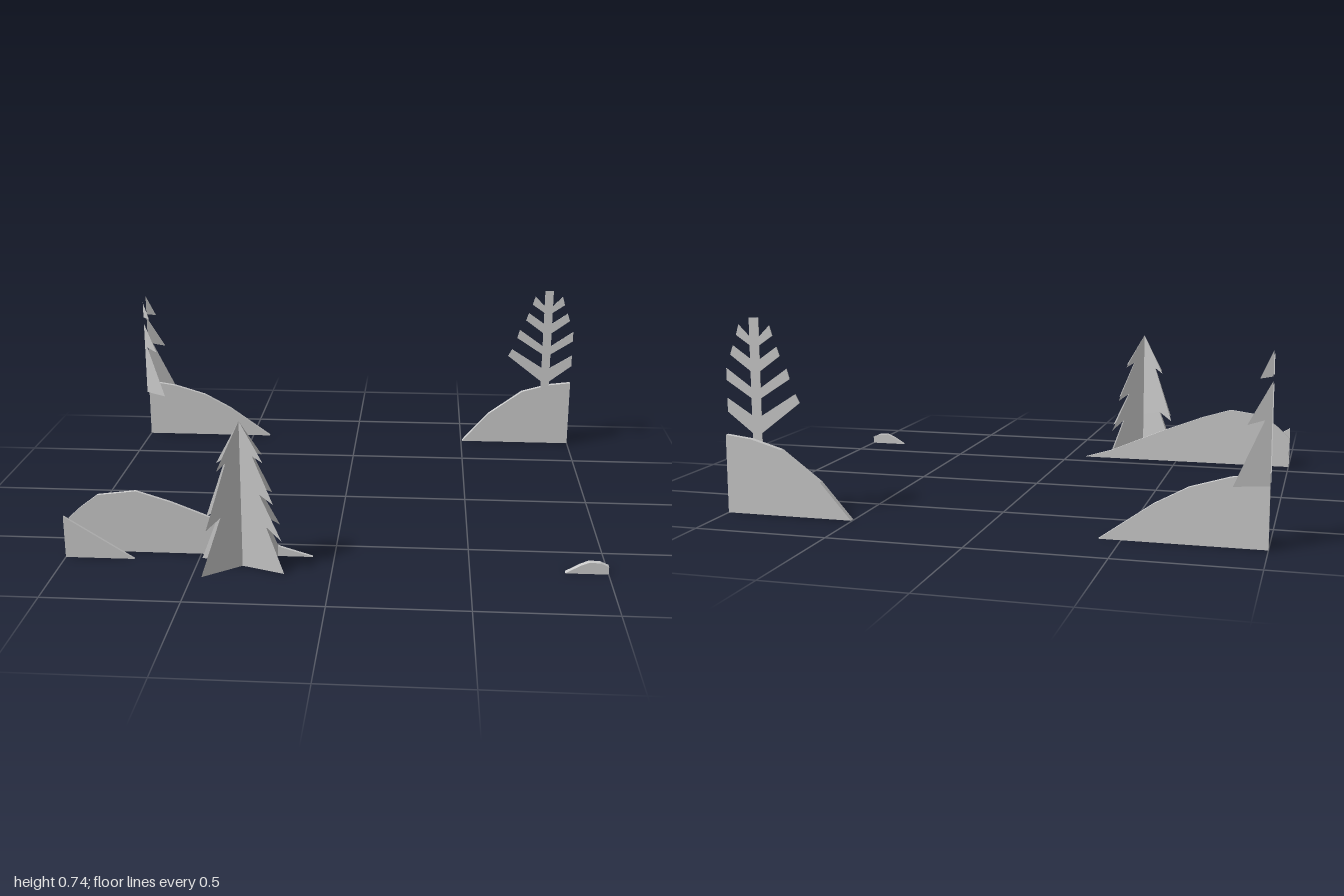
import * as THREE from 'three';

const material = new THREE.MeshStandardMaterial({ color: 0xcccccc, side: THREE.DoubleSide, flatShading: true });

const outline = (points) => new THREE.Shape(points.map(([x, y]) => new THREE.Vector2(x, y)));

// Upright cut-out with a little thickness, from z0 to z1
function slab(name, points, z0, z1) {
  const geometry = new THREE.ExtrudeGeometry(points.map ? outline(points) : points, { depth: z1 - z0, bevelEnabled: false });
  geometry.translate(0, 0, z0);
  const mesh = new THREE.Mesh(geometry, material);
  mesh.name = name;
  return mesh;
}

// Paper-thin upright card turned so its own +x points along (dx, dz)
function card(name, shapes, dx, dz) {
  const mesh = new THREE.Mesh(new THREE.ShapeGeometry(shapes), material);
  mesh.name = name;
  mesh.rotation.y = -Math.atan2(dz, dx);
  return mesh;
}

// Fir made of two crossed cards
function firTree() {
  const tree = new THREE.Group();
  tree.name = 'frontFirTree';
  const profile = outline([
    [0, 0.56], [0.092, 0.415], [0.05, 0.435], [0.13, 0.262], [0.075, 0.293],
    [0.162, 0.125], [0.1, 0.172], [0.17, 0],
    [-0.17, 0], [-0.085, 0.21], [-0.146, 0.173], [-0.058, 0.413], [-0.097, 0.388],
  ].reverse());
  tree.add(card('firCard', profile, 0.16, 0.0575), card('firCrossCard', profile, 0.135, -0.105));
  tree.position.set(-0.33, 0, 0.7);
  return tree;
}

// Fir at the scene's edge: only the boughs beyond the cut distance remain
function edgeFirTree() {
  const tree = new THREE.Group();
  tree.name = 'backFirTree';
  const along = ([x0, y0], [x1, y1], x) => [x, y0 + (y1 - y0) * (x - x0) / (x1 - x0)];
  const apex = [0, 0.81], tip1 = [0.109, 0.58], notch1 = [0.055, 0.588];
  const tip2 = [0.147, 0.427], notch2 = [0.088, 0.442], foot = [0.19, 0.22];
  for (const [dx, dz] of [[0.181, -0.06], [0.161, 0.105]]) {
    const cut = 0.061 * Math.hypot(dx, dz) / dx;
    const top = outline([along(apex, tip1, cut), tip1, along(notch1, tip1, cut)]);
    const lower = outline([along(notch1, tip2, cut), tip2, notch2, foot, [cut, 0.22]]);
    tree.add(card('firCard', [top, lower], dx, dz));
  }
  tree.position.set(-1.061, 0, -0.755);
  return tree;
}

// Bare tree: trunk with four pairs of slanted branches, trimmed at x = 1
function bareTree() {
  const tree = new THREE.Group();
  tree.name = 'bareTree';
  const half = 0.019, centre = 0.882, z0 = -0.74, z1 = -0.736;
  tree.add(slab('trunk', [
    [centre - half, 0.265], [centre + half, 0.265], [centre + half, 0.735], [centre - half, 0.735],
  ], z0, z1));
  // root top, root bottom, tip top, tip bottom
  const branches = [
    [0.665, 0.633, [0.062, 0.708], [0.073, 0.67]],
    [0.582, 0.537, [0.088, 0.63], [0.1, 0.596]],
    [0.475, 0.436, [0.126, 0.55], [0.137, 0.512]],
    [0.37, 0.305, [0.158, 0.457], [0.175, 0.425]],
  ];
  for (const side of [-1, 1]) {
    const limit = side > 0 ? 1 - centre : 1;
    for (const [high, low, tipHigh, tipLow] of branches) {
      const end = ([x, y], root) => {
        const t = Math.min(1, (limit - half) / (x - half));
        return [centre + side * (half + t * (x - half)), root + t * (y - root)];
      };
      const x = centre + side * half;
      tree.add(slab('branch', [[x, low], end(tipLow, low), end(tipHigh, high), [x, high]], z0, z1));
    }
  }
  return tree;
}

export function createModel() {
  const model = new THREE.Group();
  model.name = 'forestCutouts';

  // Hills and ground pieces
  model.add(
    slab('frontHill', [
      [-1, 0], [-0.08, 0], [-0.2, 0.036], [-0.435, 0.137], [-0.61, 0.205],
      [-0.74, 0.245], [-0.885, 0.226], [-0.955, 0.172], [-1, 0.13],
    ], 0.594, 0.607),
    slab('frontMound', [[-1, 0], [-0.74, 0], [-1, 0.163]], 0.66, 0.67),
    slab('backHill', [
      [-1, 0], [-0.42, 0], [-0.61, 0.135], [-0.73, 0.2], [-0.87, 0.242], [-1, 0.262],
    ], -0.773, -0.755),
    slab('sideHill', [
      [0.505, 0], [1, 0], [1, 0.297], [0.9, 0.285], [0.778, 0.25], [0.625, 0.137],
    ], -0.763, -0.741),
    slab('rock', [
      [0.845, 0], [1, 0], [1, 0.03], [0.97, 0.043], [0.93, 0.045], [0.895, 0.03],
    ], 0.662, 0.682),
  );

  // Trees
  model.add(firTree(), edgeFirTree(), bareTree());
  return model;
}
